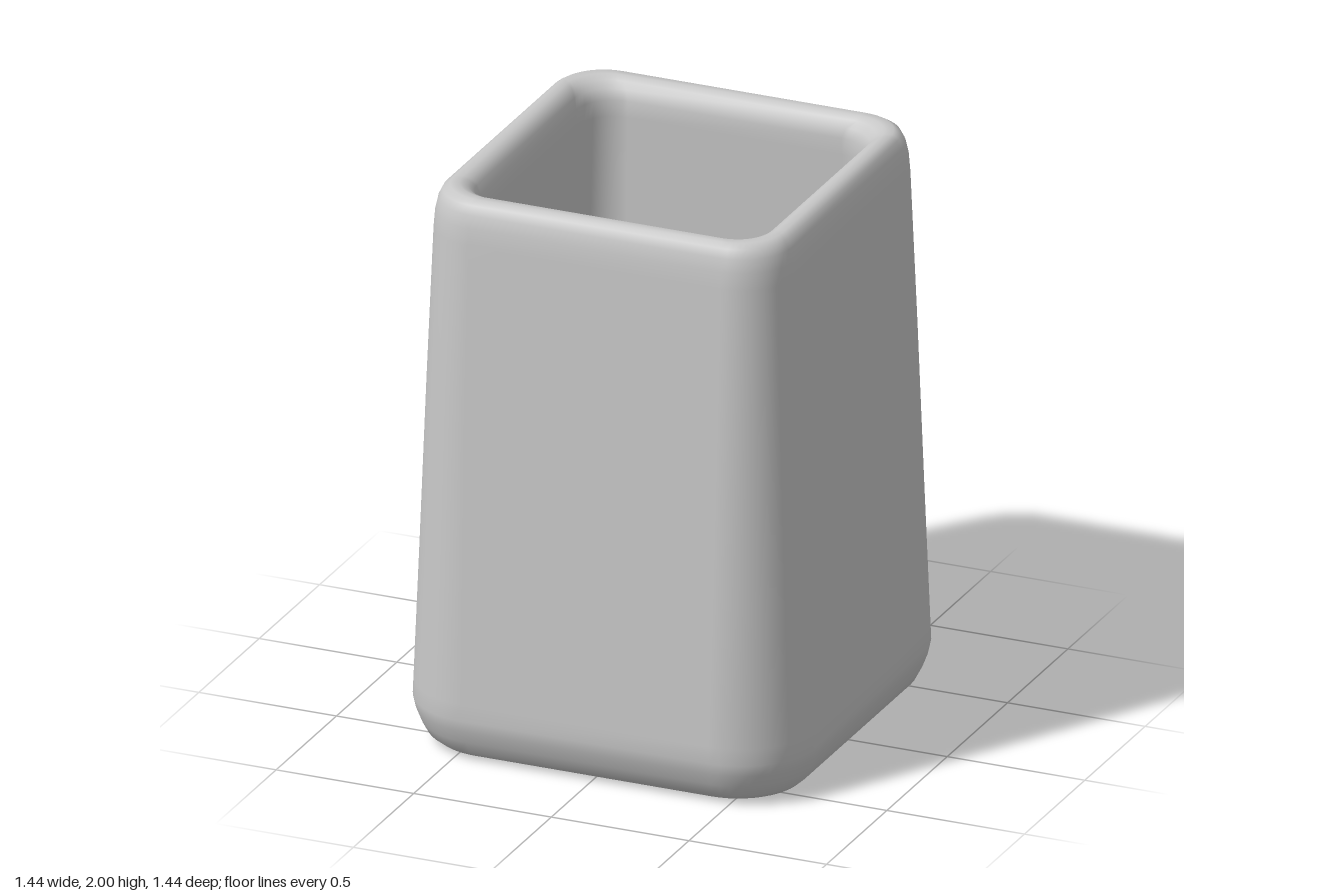
import * as THREE from 'three';

// One point of a rounded square: corner k (0-3), arc step t (0-1)
function roundedSquarePoint(half, radius, k, t) {
  const angle = (k + t) * Math.PI / 2;
  const mid = (k + 0.5) * Math.PI / 2;
  const inset = half - radius;
  return [
    Math.sign(Math.cos(mid)) * inset + radius * Math.cos(angle),
    Math.sign(Math.sin(mid)) * inset + radius * Math.sin(angle),
  ];
}

// Skin a closed surface over rounded-square sections [half width, y, corner radius]
function loftRoundedSquares(sections, steps = 12) {
  const positions = [], indices = [];
  const count = 4 * (steps + 1);
  for (const [half, y, radius] of sections) {
    for (let k = 0; k < 4; k++) {
      for (let s = 0; s <= steps; s++) {
        const [x, z] = roundedSquarePoint(half, radius, k, s / steps);
        positions.push(x, y, z);
      }
    }
  }
  for (let i = 0; i < sections.length - 1; i++) {
    for (let j = 0; j < count; j++) {
      const next = (j + 1) % count;
      const a = i * count + j, b = a + count;
      const c = i * count + next, d = c + count;
      indices.push(a, b, c, c, b, d);
    }
  }
  const geometry = new THREE.BufferGeometry();
  geometry.setAttribute('position', new THREE.Float32BufferAttribute(positions, 3));
  geometry.setIndex(indices);
  geometry.computeVertexNormals();
  return geometry;
}

export function createModel() {
  const group = new THREE.Group();
  group.name = 'tumbler';
  const grey = new THREE.MeshStandardMaterial({ color: 0xc8c8c8 });
  grey.name = 'plain grey';

  const sections = [
    // underside and chamfered foot
    [0.001, 0, 0.0005], [0.58, 0, 0.18], [0.62, 0.003, 0.2], [0.65, 0.012, 0.22],
    [0.675, 0.035, 0.235], [0.695, 0.075, 0.25], [0.712, 0.12, 0.265], [0.72, 0.16, 0.27],
    // tapering outer wall
    [0.718, 0.22, 0.27], [0.697, 0.7, 0.245], [0.672, 1.3, 0.215], [0.648, 1.85, 0.19],
    // rolled rim
    [0.643, 1.91, 0.185], [0.634, 1.955, 0.18], [0.62, 1.985, 0.17], [0.598, 2, 0.155],
    [0.57, 2, 0.14], [0.547, 1.988, 0.13], [0.53, 1.965, 0.13], [0.518, 1.93, 0.13],
    // inner wall, parallel to the outside
    [0.52, 1.87, 0.13], [0.545, 1.3, 0.14], [0.57, 0.7, 0.15], [0.585, 0.24, 0.16],
    // inside floor
    [0.58, 0.19, 0.155], [0.565, 0.16, 0.15], [0.53, 0.15, 0.13], [0.5, 0.15, 0.12], [0.001, 0.15, 0.0005],
  ];
  const cup = new THREE.Mesh(loftRoundedSquares(sections), grey);
  cup.name = 'hollow cup body';
  group.add(cup);
  return group;
}
